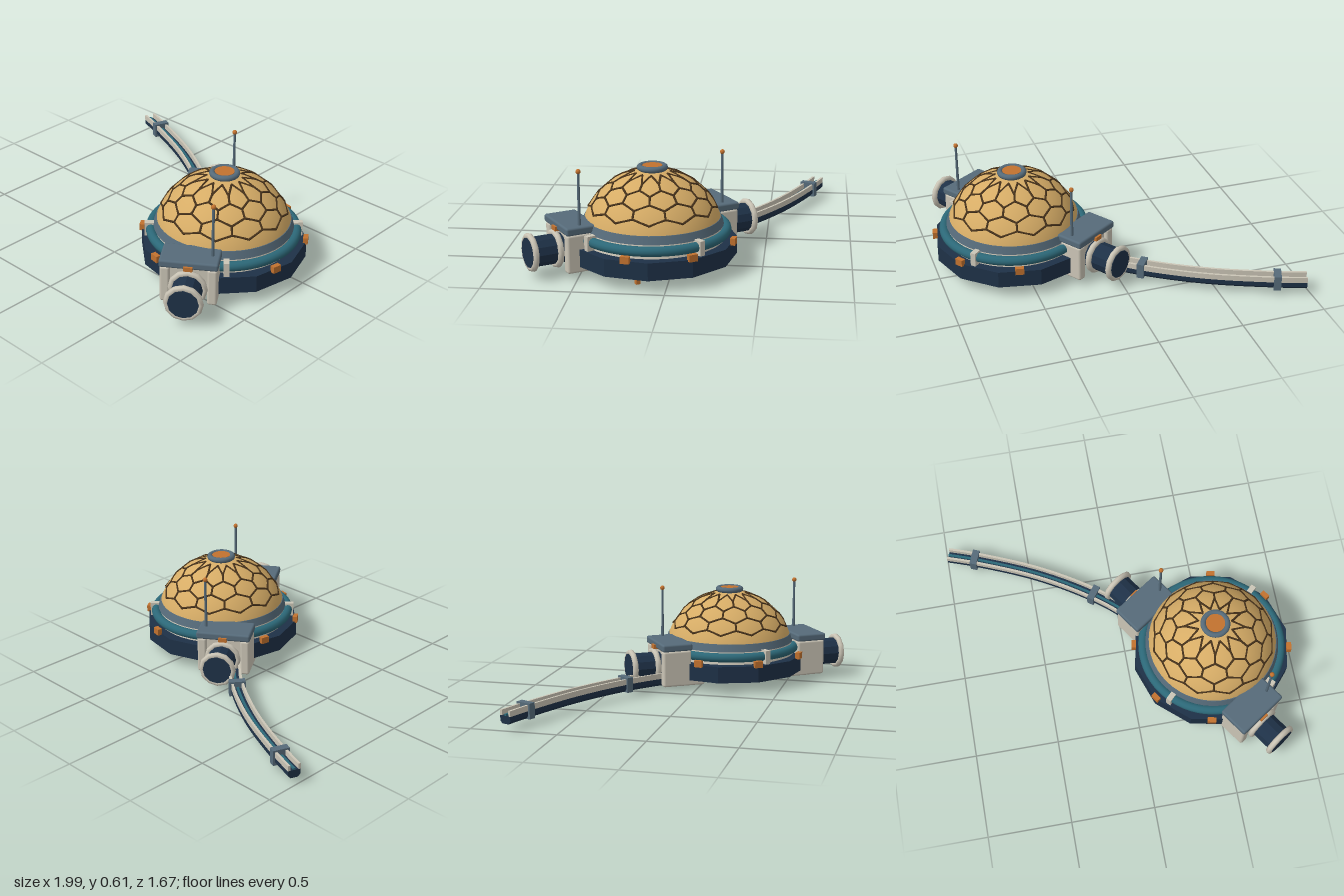
import * as THREE from 'three';
import { RoundedBoxGeometry } from 'three/addons/geometries/RoundedBoxGeometry.js';
import { mergeGeometries } from 'three/addons/utils/BufferGeometryUtils.js';

const material = (name, color, flatShading = false) => {
  const m = new THREE.MeshStandardMaterial({ color, flatShading });
  m.name = name;
  return m;
};

export function createModel() {
  const gold = material('gold', 0xd6ac66);
  const brown = material('dark brown', 0x49341c);
  const slate = material('slate', 0x566b7a);
  const teal = material('teal', 0x2c6878);
  const navy = material('navy', 0x1e3147, true);
  const cream = material('cream', 0xcbc5b6);
  const orange = material('orange', 0xc2722f);

  const model = new THREE.Group();
  const add = (parent, name, geometry, mat, x = 0, y = 0, z = 0) => {
    const mesh = new THREE.Mesh(geometry, mat);
    mesh.name = name;
    mesh.position.set(x, y, z);
    parent.add(mesh);
    return mesh;
  };
  const box = (w, h, d) => new THREE.BoxGeometry(w, h, d);
  const cyl = (r, h, n = 32, rBottom = r) => new THREE.CylinderGeometry(r, rBottom, h, n);

  // Station body, turned so its two docking modules lie along local z
  const station = new THREE.Group();
  station.name = 'station';
  station.position.set(0.51, 0, 0.122);
  station.rotation.y = 0.593;
  model.add(station);

  // Hull layers
  add(station, 'hullBumper', cyl(0.475, 0.1, 12), navy, 0, 0.12, 0);
  add(station, 'hullWall', cyl(0.39, 0.09, 48, 0.41), cream, 0, 0.21, 0);
  add(station, 'domeSeat', cyl(0.385, 0.045, 48, 0.4), slate, 0, 0.268, 0);
  const ring = add(station, 'ringPipe', new THREE.TorusGeometry(0.415, 0.028, 12, 64), teal, 0, 0.215, 0);
  ring.rotation.x = Math.PI / 2;

  // Dome as a spherical cap
  const R = 0.406, domeY = 0.15;
  add(station, 'dome', new THREE.SphereGeometry(R, 48, 20, 0, Math.PI * 2, 0, 1.23), gold, 0, domeY, 0);

  // Honeycomb seams: zigzag rings joined by short links
  const N = 12, seams = [];
  const onDome = (phi, step) =>
    new THREE.Vector3().setFromSphericalCoords(R + 0.001, phi, (step * Math.PI) / N);
  const seam = (a, b) => {
    const g = cyl(0.0065, a.distanceTo(b) + 0.004, 5);
    const q = new THREE.Quaternion().setFromUnitVectors(
      new THREE.Vector3(0, 1, 0), b.clone().sub(a).normalize());
    g.applyQuaternion(q);
    const mid = a.clone().add(b).multiplyScalar(0.5);
    seams.push(g.translate(mid.x, mid.y, mid.z));
  };
  const zigzags = [[0.25, 0.45], [0.57, 0.67], [0.8, 0.89], [1.01, 1.09]];
  zigzags.forEach((row, j) => {
    const phi = (i) => row[(i + j) % 2];
    for (let i = 0; i < 2 * N; i++) {
      seam(onDome(phi(i), i), onDome(phi(i + 1), i + 1));
      if (j < 3 && (i + j) % 2 === 1) seam(onDome(row[1], i), onDome(zigzags[j + 1][0], i));
    }
  });
  add(station, 'domeSeams', mergeGeometries(seams), brown, 0, domeY, 0);

  // Crown hatch
  add(station, 'crownNeck', cyl(0.068, 0.04), slate, 0, 0.553, 0);
  const crown = add(station, 'crownRim', new THREE.TorusGeometry(0.07, 0.017, 10, 32), slate, 0, 0.568, 0);
  crown.rotation.x = Math.PI / 2;
  add(station, 'crownLens', cyl(0.056, 0.01), orange, 0, 0.575, 0);

  // Lights round the bumper, skipping the modules, and clips on the ring pipe
  for (let i = 0; i < 8; i++) {
    const a = (i * Math.PI) / 4;
    if (i % 4 !== 0) {
      const light = add(station, 'bumperLight', box(0.05, 0.04, 0.028), orange,
        0.47 * Math.sin(a), 0.182, 0.47 * Math.cos(a));
      light.rotation.y = a;
    }
    if (i % 2 === 0) {
      const b = a + 0.17;
      const clip = add(station, 'pipeClip', box(0.032, 0.09, 0.075), cream,
        0.413 * Math.sin(b), 0.208, 0.413 * Math.cos(b));
      clip.rotation.y = b;
    }
  }

  // Landing pegs under the hull
  for (const z of [-0.22, -0.073, 0.073, 0.22]) {
    add(station, 'landingPeg', box(0.025, 0.08, 0.025), orange, 0.25, 0.04, z);
  }

  // Docking modules straddling the rail, one at each end
  const railX = -0.12;
  for (const s of [1, -1]) {
    const module = new THREE.Group();
    module.name = s > 0 ? 'frontModule' : 'backModule';
    station.add(module);
    add(module, 'moduleCore', box(0.24, 0.15, 0.15), cream, railX, 0.185, s * 0.435);
    add(module, 'moduleRoof', new RoundedBoxGeometry(0.325, 0.045, 0.19, 2, 0.012), slate, railX, 0.276, s * 0.445);
    for (const side of [-1, 1]) {
      add(module, 'moduleLeg', new RoundedBoxGeometry(0.055, 0.22, 0.18, 2, 0.014), cream,
        railX + side * 0.13, 0.146, s * 0.445);
      add(module, 'moduleFoot', new RoundedBoxGeometry(0.055, 0.045, 0.16, 2, 0.012), cream,
        railX + side * 0.13, 0.058, s * 0.35);
    }
    add(module, 'moduleLight', box(0.05, 0.025, 0.025), orange, railX, 0.262, s * 0.54);

    // Drum with two rims
    const drum = add(module, 'dockDrum', cyl(0.085, 0.21, 12), navy, railX, 0.143, s * 0.603);
    drum.rotation.x = Math.PI / 2;
    for (const z of [0.545, 0.69]) {
      add(module, 'dockRim', new THREE.TorusGeometry(0.092, 0.018, 8, 12), cream, railX, 0.143, s * z);
    }

    // Antenna
    add(module, 'antennaPole', cyl(0.007, 0.3, 10, 0.009), slate, 0, 0.445, s * 0.447);
    add(module, 'antennaTip', new THREE.SphereGeometry(0.014, 14, 10), orange, 0, 0.6, s * 0.447);
  }

  // Curved rail running out from under the hull
  const path = new THREE.CatmullRomCurve3([
    [-0.985, -0.8], [-0.825, -0.742], [-0.45, -0.575], [-0.13, -0.375],
    [0.08, -0.19], [0.4, 0.21], [0.65, 0.57],
  ].map(([x, z]) => new THREE.Vector3(x, 0, z)));

  // Sweep a convex section [offset, height] along the path
  const sweep = (section, steps = 48) => {
    const pos = [], index = [], n = section.length;
    for (let k = 0; k <= steps; k++) {
      const p = path.getPoint(k / steps), t = path.getTangent(k / steps);
      for (const [o, y] of section) pos.push(p.x - t.z * o, y, p.z + t.x * o);
    }
    for (let k = 0; k < steps; k++) {
      for (let i = 0; i < n; i++) {
        const a = k * n + i, b = k * n + ((i + 1) % n);
        index.push(a, a + n, b, b, a + n, b + n);
      }
    }
    for (let i = 1; i < n - 1; i++) {
      const e = steps * n;
      index.push(0, i, i + 1, e, e + i + 1, e + i);
    }
    const g = new THREE.BufferGeometry();
    g.setAttribute('position', new THREE.Float32BufferAttribute(pos, 3));
    g.setIndex(index);
    const flat = g.toNonIndexed();
    flat.computeVertexNormals();
    return flat;
  };
  const strip = (o, w, y0, y1) =>
    sweep([[o - w / 2, y0], [o + w / 2, y0], [o + w / 2, y1], [o - w / 2, y1]]);

  add(model, 'railBed', sweep([[-0.022, 0.036], [0.022, 0.036], [0.036, 0.052],
    [0.036, 0.082], [-0.036, 0.082], [-0.036, 0.052]]), navy);
  for (const side of [-1, 1]) {
    add(model, 'railEdge', strip(side * 0.03, 0.014, 0.08, 0.113), cream);
  }
  add(model, 'railCable', strip(0, 0.014, 0.08, 0.092), teal);

  // Rail clamps
  for (const i of [1, 3, 5]) {
    const p = path.getPoint(i / 6), t = path.getTangent(i / 6);
    const clamp = add(model, 'railClamp', box(0.096, 0.09, 0.042), slate, p.x, 0.078, p.z);
    clamp.rotation.y = Math.atan2(t.x, t.z);
  }

  return model;
}
